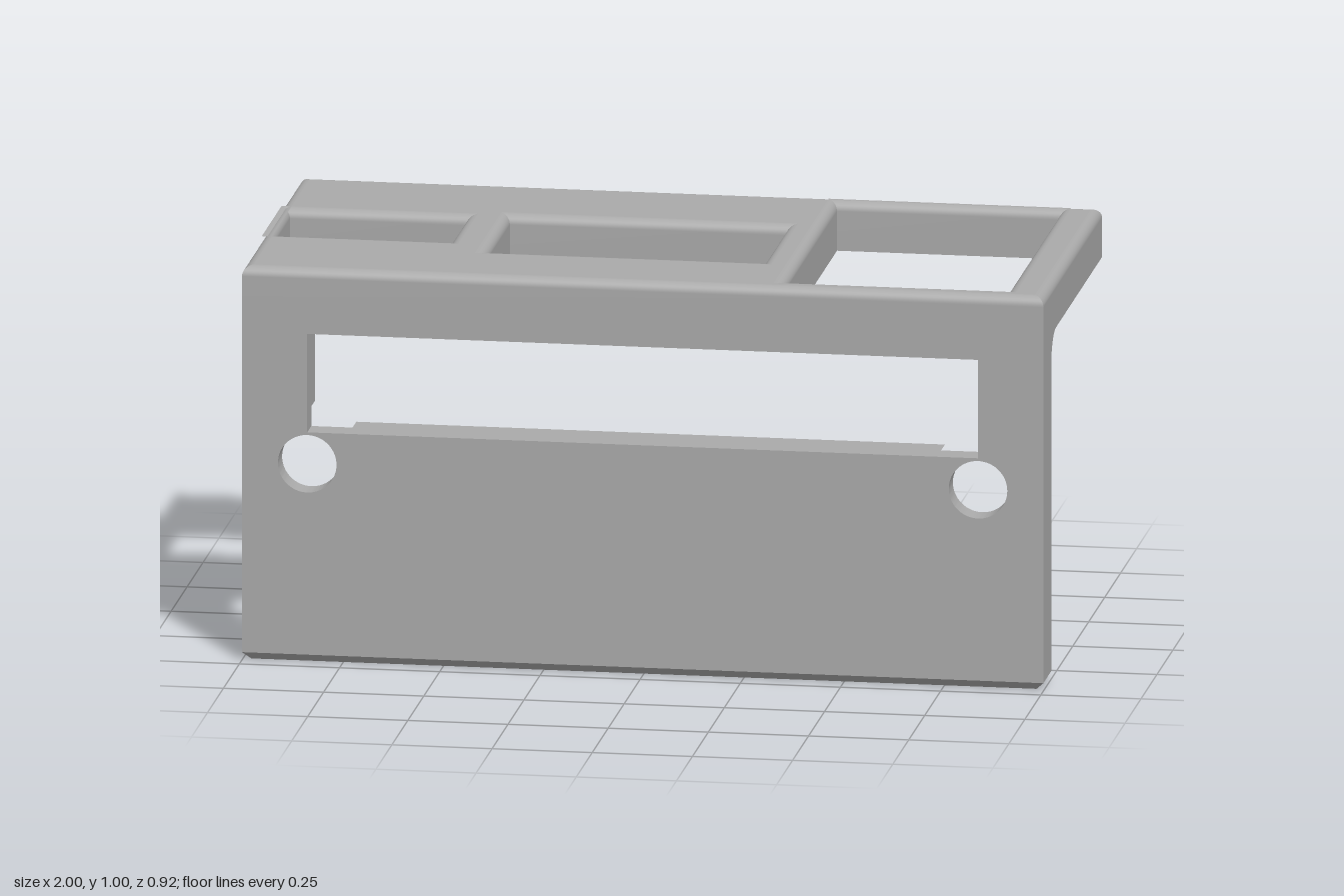
import * as THREE from 'three';
import { toCreasedNormals } from 'three/addons/utils/BufferGeometryUtils.js';

const R = 0.025;                       // rounding of the upper edges
const Y_SHELF = 0.875;                 // underside of the shelf
const Z_BACK = 0.335, Z_STEP = 0.395, Z_FRONT = 0.46;
const SLOT = { x: 0.837, y0: 0.585, y1: 0.835 };
const HOLE = { x: 0.837, y: 0.505, r: 0.073, bore: 0.13 };
const WINDOWS = {
  small: [-0.975, -0.535, -0.135, 0.125],
  middle: [-0.43, 0.26, -0.16, 0.21],
  large: [0.345, 0.9, -0.42, Z_STEP],
};

const polygon = (pts) => new THREE.Shape(pts.map(([x, y]) => new THREE.Vector2(x, y)));
const rectPath = (x0, x1, y0, y1) =>
  new THREE.Path([[x0, y0], [x0, y1], [x1, y1], [x1, y0]].map((p) => new THREE.Vector2(...p)));

// Four mitred walls following a rectangle [x0, x1, z0, z1]; profile is [inset, y], bottom to top
function rectWalls([x0, x1, z0, z1], profile, inward = false) {
  const corners = [[x0, z1, 1, -1], [x1, z1, -1, -1], [x1, z0, -1, 1], [x0, z0, 1, 1]];
  if (inward) corners.reverse();
  const pos = [], idx = [];
  for (let i = 0; i < 4; i++) {
    const start = pos.length / 3;
    profile.forEach(([inset, y], k) => {
      for (const [x, z, sx, sz] of [corners[i], corners[(i + 1) % 4]]) pos.push(x + sx * inset, y, z + sz * inset);
      if (k) {
        const a = start + 2 * (k - 1);
        idx.push(a, a + 1, a + 3, a, a + 3, a + 2);
      }
    });
  }
  const g = new THREE.BufferGeometry();
  g.setAttribute('position', new THREE.Float32BufferAttribute(pos, 3));
  g.setIndex(idx);
  g.computeVertexNormals();
  return g;
}

// Upright wall ending in a quarter-round; dir is 1 for outer edges, -1 for openings
function roundedProfile(dir) {
  const pts = [[0, Y_SHELF]];
  for (let i = 0; i <= 8; i++) {
    const t = (i / 8) * Math.PI / 2;
    pts.push([dir * R * (1 - Math.cos(t)), 1 - R + R * Math.sin(t)]);
  }
  return pts;
}

function slab(shape, z0, z1) {
  const g = new THREE.ExtrudeGeometry(shape, { depth: z1 - z0, bevelEnabled: false, curveSegments: 40 });
  return toCreasedNormals(g.translate(0, 0, z0), 0.5);
}

// Concave fillet between plate and shelf, over an x range and an angle range
function fillet(x0, x1, t0, t1, corners) {
  const r = Y_SHELF - 0.8, pts = [];
  for (let i = 0; i <= 12; i++) {
    const t = t0 + (t1 - t0) * (i / 12);
    pts.push([-(Z_BACK - r + r * Math.cos(t)), 0.8 + r * Math.sin(t)]);
  }
  corners.forEach(([z, y]) => pts.push([-z, y]));
  const g = new THREE.ExtrudeGeometry(polygon(pts), { depth: x1 - x0, bevelEnabled: false });
  return toCreasedNormals(g.rotateY(Math.PI / 2).translate(x0, 0, 0), 0.5);
}

export function createModel() {
  const model = new THREE.Group();
  model.name = 'mountingBracket';
  const grey = new THREE.MeshStandardMaterial({ color: 0xaaaaaa });
  grey.name = 'grey';
  const add = (name, geometry) => {
    const m = new THREE.Mesh(geometry, grey);
    m.name = name;
    model.add(m);
    return m;
  };

  // Front layer of the plate: slot and two screw holes
  const face = polygon([[-1, 0.02], [1, 0.02], [1, Y_SHELF], [-1, Y_SHELF]]);
  face.holes.push(rectPath(-SLOT.x, SLOT.x, SLOT.y0, SLOT.y1));
  for (const s of [-1, 1]) face.holes.push(new THREE.Path().absarc(s * HOLE.x, HOLE.y, HOLE.r, 0, Math.PI * 2, true));
  add('frontPlate', slab(face, Z_STEP, Z_FRONT));

  // Back layer: counterbores run into the slot, and the large window cuts down to it
  const dy = SLOT.y0 - HOLE.y;
  const a = Math.asin(dy / HOLE.bore);
  const [wx0, wx1, wz0] = WINDOWS.large;
  const back = new THREE.Shape();
  back.moveTo(-1, 0.02);
  back.lineTo(1, 0.02);
  back.lineTo(1, Y_SHELF);
  back.lineTo(wx1, Y_SHELF);
  back.lineTo(wx1, SLOT.y1);
  back.lineTo(SLOT.x, SLOT.y1);
  back.absarc(HOLE.x, HOLE.y, HOLE.bore, Math.PI / 2, -Math.PI - a, true);
  back.absarc(-HOLE.x, HOLE.y, HOLE.bore, a, -1.5 * Math.PI, true);
  back.lineTo(-SLOT.x, SLOT.y1);
  back.lineTo(wx0, SLOT.y1);
  back.lineTo(wx0, Y_SHELF);
  back.lineTo(-1, Y_SHELF);
  add('backPlate', slab(back, Z_BACK, Z_STEP));

  // Chamfered foot
  add('footChamfer', rectWalls([-1, 1, Z_BACK, Z_FRONT], [[0.02, 0], [0, 0.02]]));
  const foot = new THREE.PlaneGeometry(1.96, Z_FRONT - Z_BACK - 0.04).rotateX(Math.PI / 2);
  add('footBase', foot.translate(0, 0, (Z_BACK + Z_FRONT) / 2));

  // Inner fillet, interrupted by the slot and the large window
  const cut = Math.asin((SLOT.y1 - 0.8) / 0.075), q = Math.PI / 2;
  const top = [Z_BACK, Y_SHELF], mid = [Z_BACK, SLOT.y1];
  add('filletRight', fillet(-1, -SLOT.x, 0, q, [top]));
  add('filletMiddle', fillet(-SLOT.x, wx0, cut, q, [top, mid]));
  add('filletLedge', fillet(SLOT.x, wx1, 0, cut, [mid]));
  add('filletLeft', fillet(wx1, 1, 0, q, [top]));

  // Shelf rim and window walls with rounded upper edges
  add('shelfRim', rectWalls([-1, 1, -Z_FRONT, Z_FRONT], roundedProfile(1)));
  for (const [name, rect] of Object.entries(WINDOWS)) add(name + 'WindowWalls', rectWalls(rect, roundedProfile(-1), true));

  // Shelf top, with the two edge windows as notches (shape y is -z)
  const X = 1 - R, Z = Z_FRONT - R;
  const [sx0, sx1, sz0, sz1] = WINDOWS.small;
  const [mx0, mx1, mz0, mz1] = WINDOWS.middle;
  const cap = polygon([
    [-X, -Z], [X, -Z], [X, Z], [wx1 + R, Z], [wx1 + R, -Z_STEP - R], [wx0 - R, -Z_STEP - R], [wx0 - R, Z],
    [-X, Z], [-X, -sz0 + R], [sx1 + R, -sz0 + R], [sx1 + R, -sz1 - R], [-X, -sz1 - R],
  ]);
  cap.holes.push(rectPath(mx0 - R, mx1 + R, -mz1 - R, -mz0 + R));
  add('shelfTop', new THREE.ShapeGeometry(cap).rotateX(-Math.PI / 2).translate(0, 1, 0));

  // Shelf underside (shape y is z)
  const under = polygon([
    [-1, -Z_FRONT], [1, -Z_FRONT], [1, Z_BACK], [wx1, Z_BACK], [wx1, wz0], [wx0, wz0], [wx0, Z_BACK], [-1, Z_BACK],
  ]);
  under.holes.push(rectPath(sx0, sx1, sz0, sz1), rectPath(mx0, mx1, mz0, mz1));
  add('shelfUnderside', new THREE.ShapeGeometry(under).rotateX(Math.PI / 2).translate(0, Y_SHELF, 0));

  return model;
}
